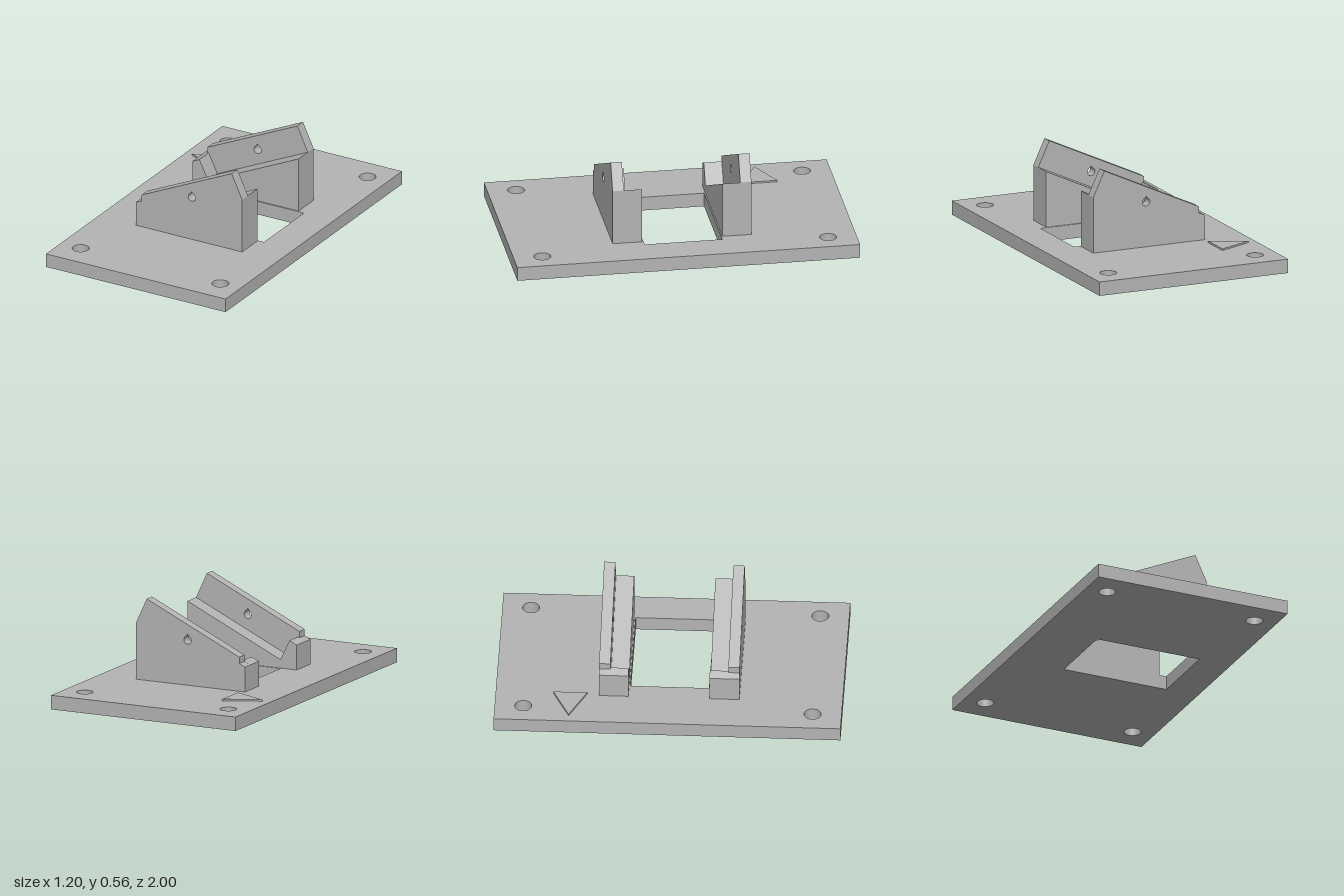
import * as THREE from 'three';

const PLATE_TOP = 0.083;

const polygon = (pts) => new THREE.Shape(pts.map(([x, y]) => new THREE.Vector2(x, y)));

// Vertical slab: profile in x/y, spanning z0 to z1
function upright(shape, z0, z1) {
  const geo = new THREE.ExtrudeGeometry(shape, { depth: z1 - z0, bevelEnabled: false, curveSegments: 24 });
  return geo.translate(0, 0, z0);
}

// Horizontal slab: outline in x/z, spanning y0 to y1
function flat(shape, y0, y1) {
  const geo = new THREE.ExtrudeGeometry(shape, { depth: y1 - y0, bevelEnabled: false, curveSegments: 32 });
  return geo.rotateX(Math.PI / 2).translate(0, y1, 0);
}

export function createModel() {
  const model = new THREE.Group();
  model.name = 'sensorBracket';
  const grey = new THREE.MeshStandardMaterial({ color: 0xb3b3b3 });
  grey.name = 'grey plastic';

  const add = (name, geo) => {
    const mesh = new THREE.Mesh(geo, grey);
    mesh.name = name;
    model.add(mesh);
  };

  // Base plate with window and four corner screw holes
  const base = polygon([[-0.6, -1], [0.6, -1], [0.6, 1], [-0.6, 1]]);
  base.holes.push(polygon([[-0.25, -0.228], [-0.25, 0.225], [0.4, 0.225], [0.4, -0.228]]));
  for (const x of [-0.467, 0.467]) {
    for (const z of [-0.835, 0.833]) {
      base.holes.push(new THREE.Path().absarc(x, z, 0.049, 0, Math.PI * 2, true));
    }
  }
  add('basePlate', flat(base, 0, PLATE_TOP));

  // Raised direction arrow
  add('directionArrow', flat(polygon([[-0.55, -0.57], [-0.338, -0.668], [-0.338, -0.472]]), PLATE_TOP, 0.093));

  // Outer cheek with a teardrop pin hole
  const cheek = polygon([
    [-0.35, PLATE_TOP], [0.36, PLATE_TOP], [0.36, 0.415], [0.29, 0.565],
    [-0.312, 0.285], [-0.312, 0.247], [-0.35, 0.23],
  ]);
  const pinHole = new THREE.Path();
  pinHole.absarc(0.024, 0.35, 0.024, Math.PI / 4, Math.PI * 0.75, true);
  pinHole.lineTo(0.024, 0.384);
  pinHole.closePath();
  cheek.holes.push(pinHole);

  // Inner sloping ledge ending in a stop lip
  const ledge = polygon([
    [-0.35, PLATE_TOP], [0.36, PLATE_TOP], [0.36, 0.415],
    [-0.245, 0.133], [-0.303, 0.252], [-0.35, 0.23],
  ]);

  add('frontCheek', upright(cheek, 0.34, 0.405));
  add('frontLedge', upright(ledge, 0.233, 0.34));
  add('backCheek', upright(cheek, -0.405, -0.34));
  add('backLedge', upright(ledge, -0.34, -0.235));

  return model;
}
